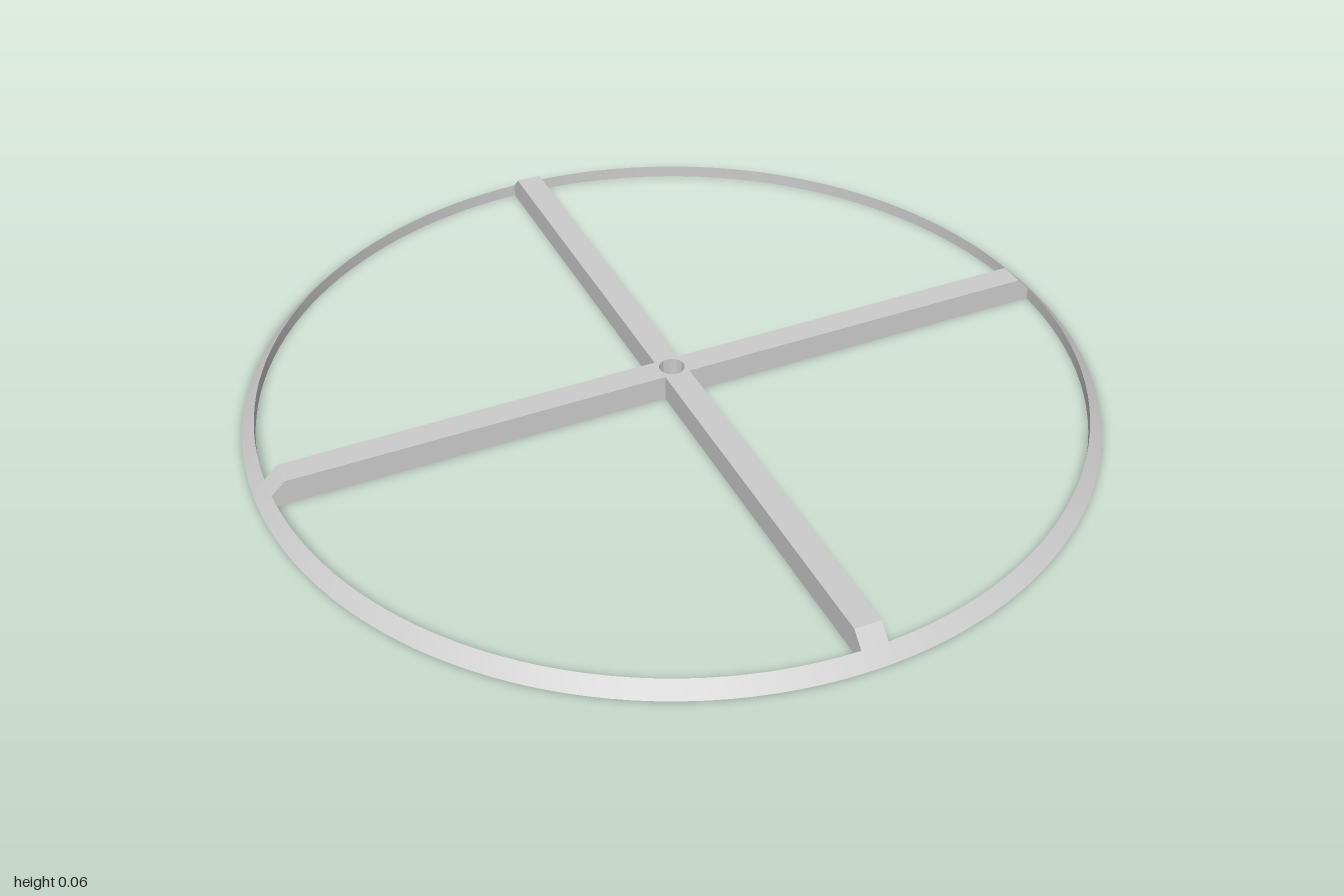
import * as THREE from 'three';
import { toCreasedNormals } from 'three/addons/utils/BufferGeometryUtils.js';

const HALF = 0.031;    // half width of a spoke
const HEIGHT = 0.0625; // spoke height
const RIM = 0.031;     // rim width and height

export function createModel() {
  const group = new THREE.Group();
  const material = new THREE.MeshStandardMaterial({ color: 0xcccccc });
  const add = (name, geometry) => {
    const mesh = new THREE.Mesh(toCreasedNormals(geometry, 0.5), material);
    mesh.name = name;
    group.add(mesh);
  };

  // Cross of four spokes with rounded tips and a hole through the hub
  const outline = [];
  const tip = Math.asin(HALF);
  for (let i = 0; i < 4; i++) {
    const turn = i * Math.PI / 2;
    for (let j = -2; j <= 2; j++) {
      const a = turn + tip * j / 2;
      outline.push(new THREE.Vector2(Math.cos(a), Math.sin(a)));
    }
    outline.push(new THREE.Vector2(HALF, HALF).rotateAround(new THREE.Vector2(), turn));
  }
  const cross = new THREE.Shape(outline);
  const hole = new THREE.Path();
  hole.absarc(0, 0, 0.03, 0, Math.PI * 2, true);
  cross.holes.push(hole);
  const spokes = new THREE.ExtrudeGeometry(cross, { depth: HEIGHT, bevelEnabled: false, curveSegments: 24 });
  spokes.rotateX(-Math.PI / 2);

  // Bevel the tips at 45 degrees, keeping the spoke width
  const p = spokes.attributes.position;
  for (let i = 0; i < p.count; i++) {
    const x = p.getX(i), z = p.getZ(i), r = 1 - p.getY(i);
    if (Math.abs(x) > 0.5) p.setX(i, Math.sign(x) * Math.sqrt(r * r - z * z));
    if (Math.abs(z) > 0.5) p.setZ(i, Math.sign(z) * Math.sqrt(r * r - x * x));
  }
  add('spokes', spokes);

  // Rim of triangular section, in four arcs between the spokes
  const section = [[1 - RIM, 0], [1, 0], [1 - RIM, RIM], [1 - RIM, 0]].map(q => new THREE.Vector2(...q));
  for (let i = 0; i < 4; i++) {
    add('rimArc' + (i + 1),
      new THREE.LatheGeometry(section, 32, i * Math.PI / 2 + tip, Math.PI / 2 - 2 * tip));
  }
  return group;
}
